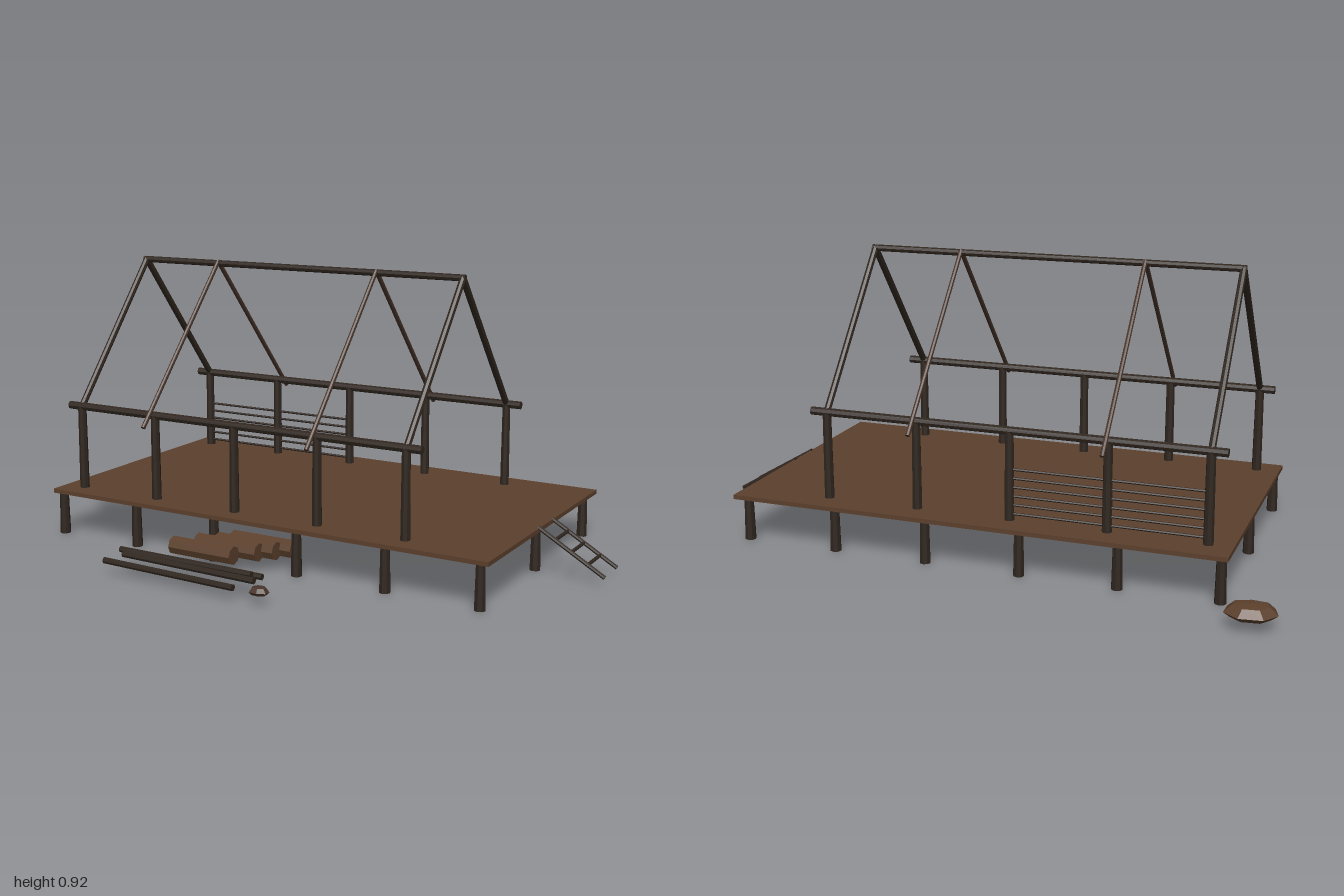
import * as THREE from 'three';

const mat = (name, color) => {
  const m = new THREE.MeshStandardMaterial({ color, flatShading: true });
  m.name = name;
  return m;
};

export function createModel() {
  const model = new THREE.Group();
  model.name = 'stiltHouseFrame';
  const plank = mat('brown plank', 0x5c402c);
  const dark = mat('dark timber', 0x30261f);
  const pole = mat('weathered pole', 0x48342a);

  const add = (name, geo, material, parent = model) => {
    const m = new THREE.Mesh(geo, material);
    m.name = name;
    parent.add(m);
    return m;
  };
  // Round timber between two points, rA at the start and rB at the end
  const timber = (name, a, b, rA, material = dark, rB = rA, sides = 8) => {
    const A = new THREE.Vector3(...a), B = new THREE.Vector3(...b);
    const dir = B.clone().sub(A);
    const m = add(name, new THREE.CylinderGeometry(rB, rA, dir.length(), sides), material);
    m.position.copy(A).add(B).multiplyScalar(0.5);
    m.quaternion.setFromUnitVectors(new THREE.Vector3(0, 1, 0), dir.normalize());
    return m;
  };

  // Deck
  add('deck', new THREE.BoxGeometry(1.61, 0.014, 0.92), plank).position.set(-0.025, 0.15, -0.065);

  // Stilts around the edge of the deck
  for (let i = 0; i < 6; i++) {
    const x = -0.804 + i * 0.31;
    for (const z of [0.371, -0.058, -0.487]) {
      if (z === -0.058 && i > 0 && i < 5) continue;
      timber('stilt', [x, 0, z], [x, 0.145, z], 0.018, dark, 0.015);
    }
  }

  // Wall posts and eave beams
  const zFront = 0.322, zBack = -0.438, zRidge = -0.058;
  const bays = [-0.753, -0.446, -0.136, 0.171, 0.478];
  for (const z of [zFront, zBack]) {
    for (const x of bays) timber('wallPost', [x, 0.15, z], [x, 0.44, z], 0.016, dark, 0.014);
    timber('eaveBeam', [-0.803, 0.44, z], [0.531, 0.44, z], 0.0135);
  }

  // Ridge and rafters
  timber('ridgeBeam', [-0.762, 0.908, zRidge], [0.487, 0.908, zRidge], 0.011);
  for (const s of [1, -1]) {
    for (const x of [bays[0], bays[4]])
      timber('endRafter', [x, 0.44, zRidge + s * 0.38], [x, 0.908, zRidge], 0.011);
    for (const x of [bays[1], bays[3]])
      timber('innerRafter', [x, 0.41, zRidge + s * 0.445], [x, 0.915, zRidge], 0.0075, pole);
  }

  // Railing on the back wall
  for (let i = 0; i < 6; i++) {
    const y = 0.177 + i * 0.0283;
    timber('railing', [bays[0], y, zBack], [bays[2], y, zBack], 0.0042, dark, 0.0042, 6);
  }

  // Ladder at the end of the deck
  for (const z of [-0.003, -0.118])
    timber('ladderRail', [0.775, 0.157, z], [0.992, 0.03, z], 0.007);
  for (const x of [0.83, 0.883, 0.937]) {
    const y = 0.157 - (x - 0.775) * 0.585;
    timber('ladderRung', [x, y, -0.003], [x, y, -0.118], 0.0055);
  }

  // Log pile: centre x, centre z
  for (const [x, z] of [[-0.155, 0.472], [-0.105, 0.405], [-0.065, 0.365], [-0.025, 0.322]])
    timber('log', [x - 0.115, 0.066, z], [x + 0.115, 0.066, z], 0.03, plank);

  // Loose poles lying in front: start x, start z, end x, end z, height
  for (const [x0, z0, x1, z1, y] of [
    [-0.375, 0.563, 0.115, 0.551, 0.046],
    [-0.385, 0.595, 0.108, 0.599, 0.066],
    [-0.347, 0.63, 0.146, 0.644, 0.066],
    [-0.398, 0.661, 0.094, 0.678, 0.046],
  ]) timber('loosePole', [x0, y, z0], [x1, y, z1], 0.0105);

  // Stones: faceted lathe with an uneven outline
  const stone = (name, x, z, r, h, depth, turn, material) => {
    const profile = [[0, 0], [0.75, 0], [1, 0.35], [0.68, 0.9], [0, 1]]
      .map(([a, b]) => new THREE.Vector2(a * r, b * h));
    const geo = new THREE.LatheGeometry(profile, 7);
    const p = geo.attributes.position;
    for (let i = 0; i < p.count; i++) {
      const a = Math.atan2(p.getZ(i), p.getX(i));
      const k = 1 + 0.06 * Math.sin(3 * a + turn);
      p.setXYZ(i, p.getX(i) * k, p.getY(i), p.getZ(i) * k * depth);
    }
    geo.computeVertexNormals();
    const m = add(name, geo, material);
    m.position.set(x, 0.036, z);
    m.rotation.y = turn;
  };
  stone('boulder', -0.92, -0.637, 0.081, 0.041, 0.7, 0.15, plank);
  stone('smallStone', 0.176, 0.664, 0.032, 0.025, 0.75, 0.2, pole);

  return model;
}
